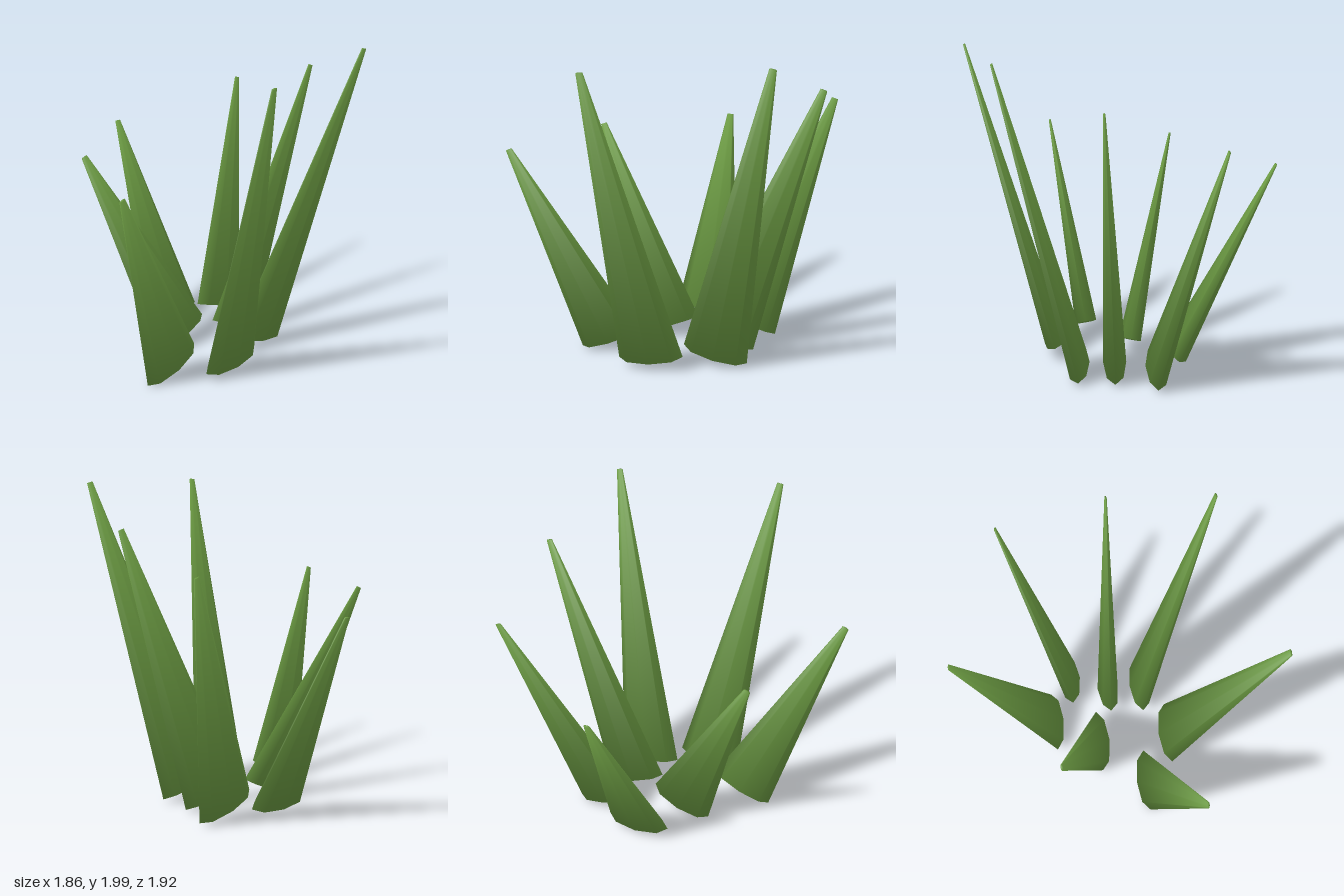
import * as THREE from 'three';

const leafGreen = new THREE.MeshStandardMaterial({ color: 0x6b9a42 });
leafGreen.name = 'leafGreen';

const BASE_RADIUS = 0.205, TIP_RADIUS = 0.0205, FLATNESS = 0.35;

// Flattened eight-sided taper from base centre to tip centre, its broad side facing z
function makeBlade(name, base, tip) {
  const from = new THREE.Vector3(...base), to = new THREE.Vector3(...tip);
  const axis = to.clone().sub(from);
  const length = axis.length();
  axis.normalize();

  const geo = new THREE.CylinderGeometry(TIP_RADIUS, BASE_RADIUS, length, 8, 1);
  geo.scale(1, 1, FLATNESS);

  // Soft normals that roll over the rims into the end caps
  const pos = geo.attributes.position, nor = geo.attributes.normal;
  const n = new THREE.Vector3();
  for (let i = 0; i < pos.count; i++) {
    n.set(pos.getX(i), 0, pos.getZ(i) / FLATNESS ** 2);
    if (n.length() > 1e-5) n.setLength(1.25);
    n.y = Math.sign(pos.getY(i));
    n.normalize();
    nor.setXYZ(i, n.x, n.y, n.z);
  }

  // Lean the blade, keeping its width in the x-y plane
  const across = new THREE.Vector3(1, -axis.x / axis.y, 0).normalize();
  const through = across.clone().cross(axis);
  const frame = new THREE.Matrix4().makeBasis(across, axis, through);
  frame.setPosition(from.add(to).multiplyScalar(0.5));
  geo.applyMatrix4(frame);

  const mesh = new THREE.Mesh(geo, leafGreen);
  mesh.name = name;
  return mesh;
}

export function createModel() {
  const group = new THREE.Group();
  group.name = 'grassTuft';
  // name, base centre, tip centre
  const blades = [
    ['backBlade', [0.125, 0.088, -0.37], [0.145, 1.298, -0.955]],
    ['backLeftBlade', [0.42, 0.09, -0.225], [0.9, 1.545, -0.578]],
    ['leftBlade', [0.325, 0.09, 0.03], [0.91, 1.755, 0.097]],
    ['frontLeftBlade', [0.32, 0.075, 0.255], [0.712, 1.995, 0.705]],
    ['frontRightBlade', [-0.055, 0.08, 0.405], [-0.283, 1.975, 0.955]],
    ['rightBlade', [-0.375, 0.085, 0.21], [-0.913, 1.365, 0.45]],
    ['backRightBlade', [-0.055, 0.085, -0.077], [-0.575, 1.34, -0.355]],
  ];
  for (const blade of blades) group.add(makeBlade(...blade));
  return group;
}
